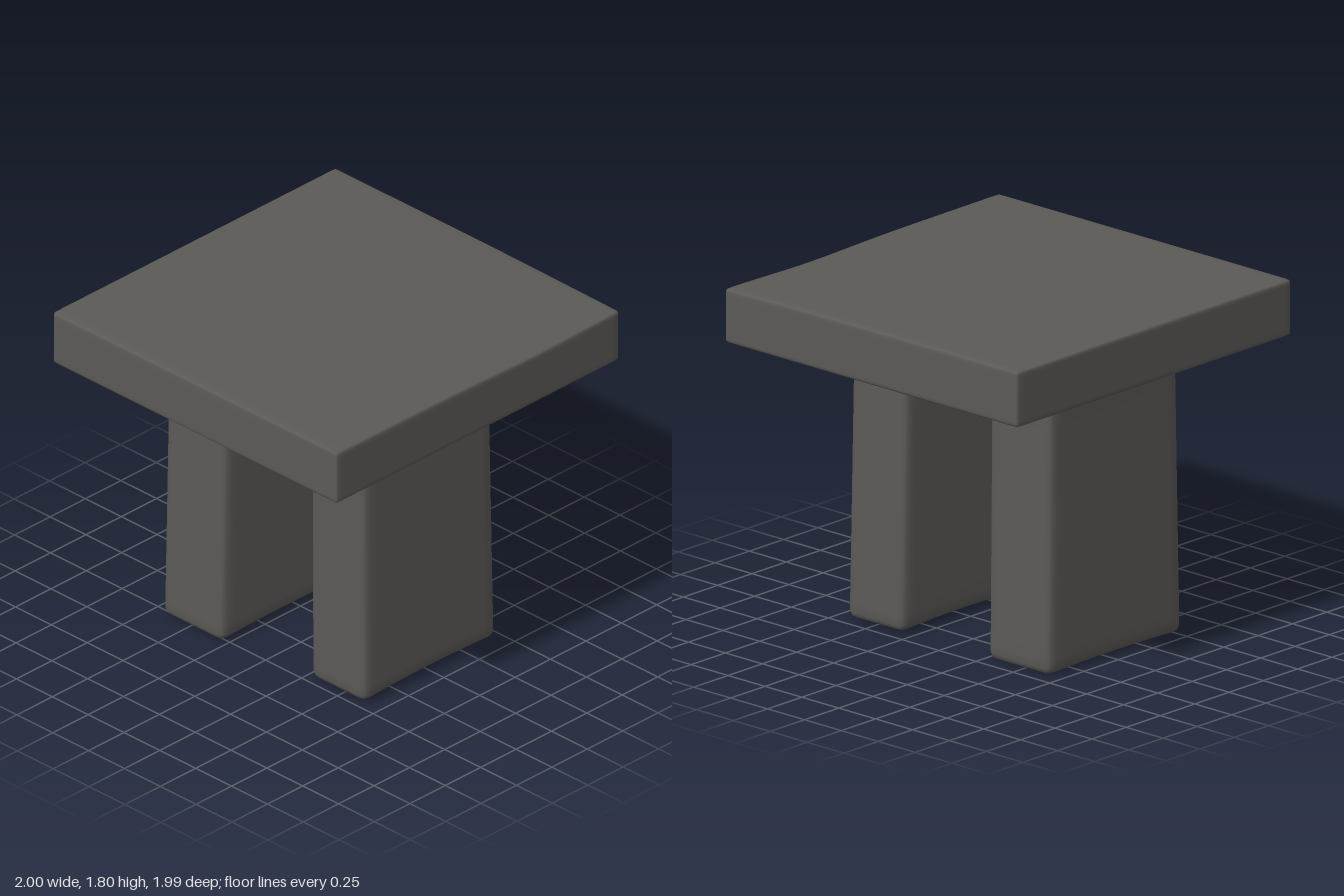
import * as THREE from 'three';
import { mergeVertices } from 'three/addons/utils/BufferGeometryUtils.js';

const clamp = THREE.MathUtils.clamp;
const smooth = THREE.MathUtils.smoothstep;

// Box with rounded edges between two corners, bent by warp(point)
function softBox(name, min, max, radius, material, warp) {
  const geo = new THREE.BoxGeometry(2, 2, 2, 20, 20, 20);
  const pos = geo.attributes.position;
  const p = new THREE.Vector3(), q = new THREE.Vector3();
  for (let i = 0; i < pos.count; i++) {
    p.fromBufferAttribute(pos, i);
    for (const a of ['x', 'y', 'z']) {
      // sine spacing packs the grid lines towards the edges
      const t = Math.sin(p[a] * Math.PI / 2);
      p[a] = (min[a] + max[a]) / 2 + t * (max[a] - min[a]) / 2;
      q[a] = clamp(p[a], min[a] + radius, max[a] - radius);
    }
    p.sub(q).setLength(radius).add(q);
    warp(p);
    pos.setXYZ(i, p.x, p.y, p.z);
  }
  geo.deleteAttribute('uv');
  geo.deleteAttribute('normal');
  const merged = mergeVertices(geo, 1e-4);
  merged.computeVertexNormals();
  const mesh = new THREE.Mesh(merged, material);
  mesh.name = name;
  return mesh;
}

const vec = (x, y, z) => new THREE.Vector3(x, y, z);

export function createModel() {
  const group = new THREE.Group();
  group.name = 'table';
  const stone = new THREE.MeshStandardMaterial({ color: 0x5c5a57 });
  stone.name = 'darkStone';

  // Thick square top, slightly worn along the front edge
  group.add(softBox('tableTop', vec(-1, 1.51, -0.995), vec(1, 1.805, 0.99), 0.02, stone, (p) => {
    const top = smooth(p.y, 1.6, 1.8);
    const worn = smooth(p.z, 0.7, 1) * Math.exp(-(((p.x - 0.4) / 0.4) ** 2));
    p.y -= top * (0.012 * worn + 0.004 * (p.x + 1) * smooth(p.z, 0, 1));
  }));

  // Slab leg: leans a little, flares under the top, arched foot
  const addLeg = (name, min, max, lean, leanZ, arch) => {
    const cx = (min.x + max.x) / 2, cz = (min.z + max.z) / 2;
    group.add(softBox(name, min, max, 0.05, stone, (p) => {
      const up = clamp(p.y / 1.5, 0, 1);
      const flare = 0.014 * smooth(p.y, 1.4, 1.52);
      const u = (p.x - cx) / (max.x - cx);
      p.y += arch * (1 - u * u) * (1 - smooth(p.y, 0, 0.3));
      p.x += lean(u) * up + flare * Math.sign(p.x - cx);
      p.z += leanZ * up + flare * Math.sign(p.z - cz);
    }));
  };
  addLeg('frontLeg', vec(-0.48, 0.01, 0.285), vec(0.46, 1.58, 0.67), (u) => -0.01 - 0.015 * u, -0.01, 0.015);
  addLeg('backLeg', vec(-0.54, 0, -0.69), vec(0.44, 1.58, -0.265), (u) => 0.015 - 0.025 * u, -0.005, 0.01);

  return group;
}
